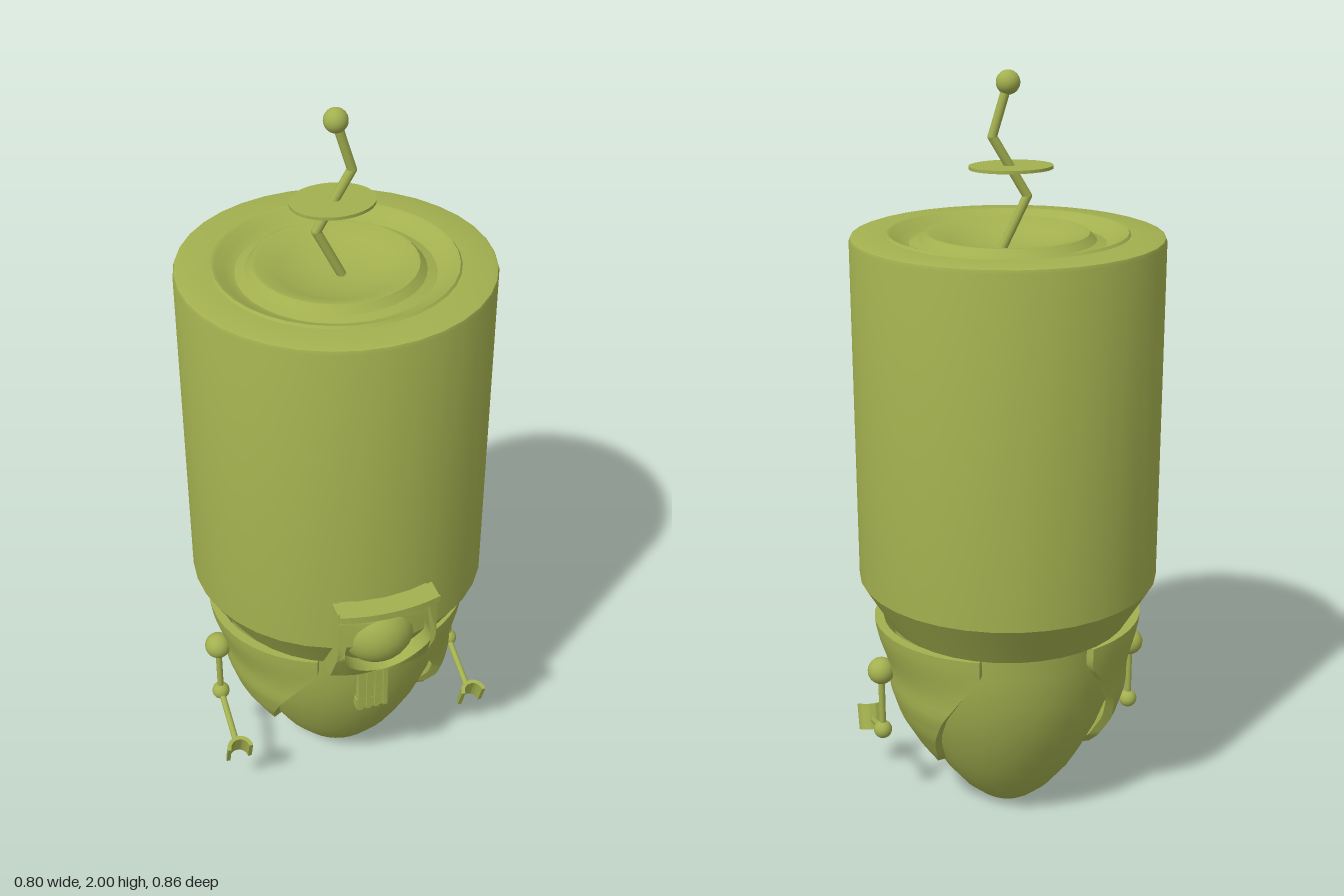
import * as THREE from 'three';
import { toCreasedNormals } from 'three/addons/utils/BufferGeometryUtils.js';

const mat = new THREE.MeshStandardMaterial({ color: 0xa3b04f });
const V = (x, y, z) => new THREE.Vector3(x, y, z);

function add(parent, name, geo, x = 0, y = 0, z = 0) {
  const m = new THREE.Mesh(geo, mat);
  m.name = name;
  m.position.set(x, y, z);
  parent.add(m);
  return m;
}

function rod(parent, name, a, b, r) {
  const d = b.clone().sub(a);
  const m = add(parent, name, new THREE.CylinderGeometry(r, r, d.length(), 12));
  m.position.copy(a).add(b).multiplyScalar(0.5);
  m.quaternion.setFromUnitVectors(V(0, 1, 0), d.normalize());
}

const lathe = (pts, crease = 0.5) => toCreasedNormals(
  new THREE.LatheGeometry(pts.map(p => new THREE.Vector2(...p)), 36), crease);
const ball = r => new THREE.SphereGeometry(r, 24, 16);

// piecewise linear lookup in [key, value] pairs
function lookup(t, k) {
  let i = 0;
  while (i < t.length - 2 && k > t[i + 1][0]) i++;
  const f = (k - t[i][0]) / (t[i + 1][0] - t[i][0]);
  return t[i][1] + (t[i + 1][1] - t[i][1]) * THREE.MathUtils.clamp(f, 0, 1);
}

function warp(geo, rule, crease = 0.6) {
  const p = geo.attributes.position, v = V(0, 0, 0);
  for (let i = 0; i < p.count; i++) {
    v.fromBufferAttribute(p, i);
    rule(v);
    p.setXYZ(i, v.x, v.y, v.z);
  }
  return toCreasedNormals(geo, crease);
}

// flared side shield, wrapped round the lower body
const shieldAngle = [[0.125, 0], [0.135, 10], [0.16, 20], [0.2, 28], [0.36, 44], [0.47, 58], [0.5, 63], [0.56, 63]];
const shieldRadius = [[0.125, 0.205], [0.2, 0.258], [0.28, 0.303], [0.36, 0.328], [0.45, 0.328], [0.56, 0.328]];
function shieldGeometry() {
  return warp(new THREE.BoxGeometry(1, 1, 1, 20, 24, 1), v => {
    const s = v.y + 0.5, y = 0.125 + 0.435 * s ** 1.4;
    const a = v.x * 2 * THREE.MathUtils.degToRad(lookup(shieldAngle, y));
    const flare = 0.036 * THREE.MathUtils.smoothstep(y, 0.4, 0.56) * Math.cos(a) ** 2;
    const r = lookup(shieldRadius, y) + flare + (v.z - 0.5) * 0.025;
    v.set(Math.sin(a) * r, y, Math.cos(a) * r);
  });
}

// curved plate with a round opening that follows the hull
function eyePlateGeometry() {
  const w = 0.135, y0 = 0.56, y1 = 0.835, n = 8, pts = [];
  const edge = (ax, ay, bx, by) => {
    for (let i = 0; i < n; i++) {
      pts.push(new THREE.Vector2(ax + (bx - ax) * i / n, ay + (by - ay) * i / n));
    }
  };
  edge(-w, y0, w, y0);
  edge(w, y0, w, y1);
  edge(w, y1, -w, y1);
  edge(-w, y1, -w, y0);
  const shape = new THREE.Shape(pts);
  shape.holes.push(new THREE.Path().absarc(0, 0.69, 0.118, 0, Math.PI * 2, true));
  const geo = new THREE.ExtrudeGeometry(shape, { depth: 0.065, bevelEnabled: false, curveSegments: 32 });
  return warp(geo, v => {
    const r = lookup([[0.56, 0.315], [0.68, 0.378], [0.84, 0.378]], v.y) + v.z;
    v.z = Math.sqrt(r * r - v.x * v.x);
  });
}

// flat arc band, extruded upwards
function arcBand(rOut, rIn, a0, a1, height) {
  const s = new THREE.Shape();
  s.absarc(0, 0, rOut, a0, a1, false);
  s.absarc(0, 0, rIn, a1, a0, true);
  const g = new THREE.ExtrudeGeometry(s, { depth: height, bevelEnabled: false, curveSegments: 16 });
  return toCreasedNormals(g.rotateX(-Math.PI / 2), 0.6);
}

export function createModel() {
  const model = new THREE.Group();
  const g = new THREE.Group();
  g.name = 'robot';
  g.position.z = -0.03;
  model.add(g);

  // upper hull with ringed, dished top
  add(g, 'hull', lathe([
    [0.28, 0.56], [0.328, 0.56], [0.4, 0.68], [0.4, 1.585], [0.397, 1.594], [0.388, 1.597],
    [0.31, 1.598], [0.305, 1.604], [0.297, 1.602], [0.275, 1.583], [0.25, 1.576], [0.225, 1.583],
    [0.207, 1.602], [0.198, 1.602], [0.15, 1.582], [0.1, 1.568], [0.05, 1.561], [0, 1.56]]));

  // egg-shaped lower body with a small recessed nozzle
  add(g, 'lowerBody', lathe([
    [0, 0.03], [0.045, 0.03], [0.05, 0.005], [0.068, 0], [0.085, 0.012], [0.13, 0.052], [0.18, 0.115],
    [0.215, 0.175], [0.25, 0.245], [0.28, 0.325], [0.3, 0.41], [0.308, 0.49], [0.31, 0.57]], 0.7));

  // eye, its housing and brow
  add(g, 'eyePlate', eyePlateGeometry());
  add(g, 'eyeBrow', arcBand(0.46, 0.385, -Math.PI / 2 - 0.299, -Math.PI / 2 + 0.299, 0.02), 0, 0.82, 0);
  add(g, 'eye', ball(0.107), 0, 0.69, 0.325);

  // vent under the eye
  for (let i = 0; i < 4; i++) {
    add(g, 'ventSlat', new THREE.BoxGeometry(0.012, 0.2, 0.06), -0.036 + i * 0.024, 0.465, 0.292);
  }
  add(g, 'ventBase', new THREE.BoxGeometry(0.09, 0.035, 0.05), 0, 0.378, 0.288);
  add(g, 'ventBack', new THREE.BoxGeometry(0.08, 0.2, 0.04), 0, 0.465, 0.292);

  for (const s of [1, -1]) {
    const side = new THREE.Group();
    side.name = s > 0 ? 'leftSide' : 'rightSide';
    g.add(side);

    add(side, 'shield', shieldGeometry()).rotation.y = s * Math.PI / 2;

    // arm with ball joints and an open half-tube gripper
    const x = s * 0.355;
    add(side, 'shoulder', ball(0.037), x, 0.415, 0);
    rod(side, 'upperArm', V(x, 0.415, 0), V(x, 0.235, 0), 0.009);
    add(side, 'elbow', ball(0.025), x, 0.235, 0);
    rod(side, 'forearm', V(x, 0.235, 0), V(x, 0.175, 0.17), 0.009);
    const grip = new THREE.Group();
    grip.name = 'gripper';
    grip.position.set(x, 0.172, 0.198);
    grip.rotation.x = 0.35;
    add(grip, 'gripperShell', arcBand(0.037, 0.026, 0, Math.PI, 0.072), 0, -0.036, 0);
    side.add(grip);
  }

  // zigzag antenna with a disc and a ball tip
  const bends = [V(0.015, 1.56, 0), V(-0.05, 1.69, 0), V(0.04, 1.84, 0), V(0, 1.97, 0)];
  for (let i = 0; i < 3; i++) {
    rod(g, 'antennaRod', bends[i], bends[i + 1], 0.012);
    if (i) add(g, 'antennaBend', ball(0.012)).position.copy(bends[i]);
  }
  add(g, 'antennaTip', ball(0.03), 0, 1.97, 0);
  add(g, 'antennaDisc', new THREE.CylinderGeometry(0.107, 0.107, 0.008, 36), -0.008, 1.764, 0).scale.z = 0.82;

  return model;
}
